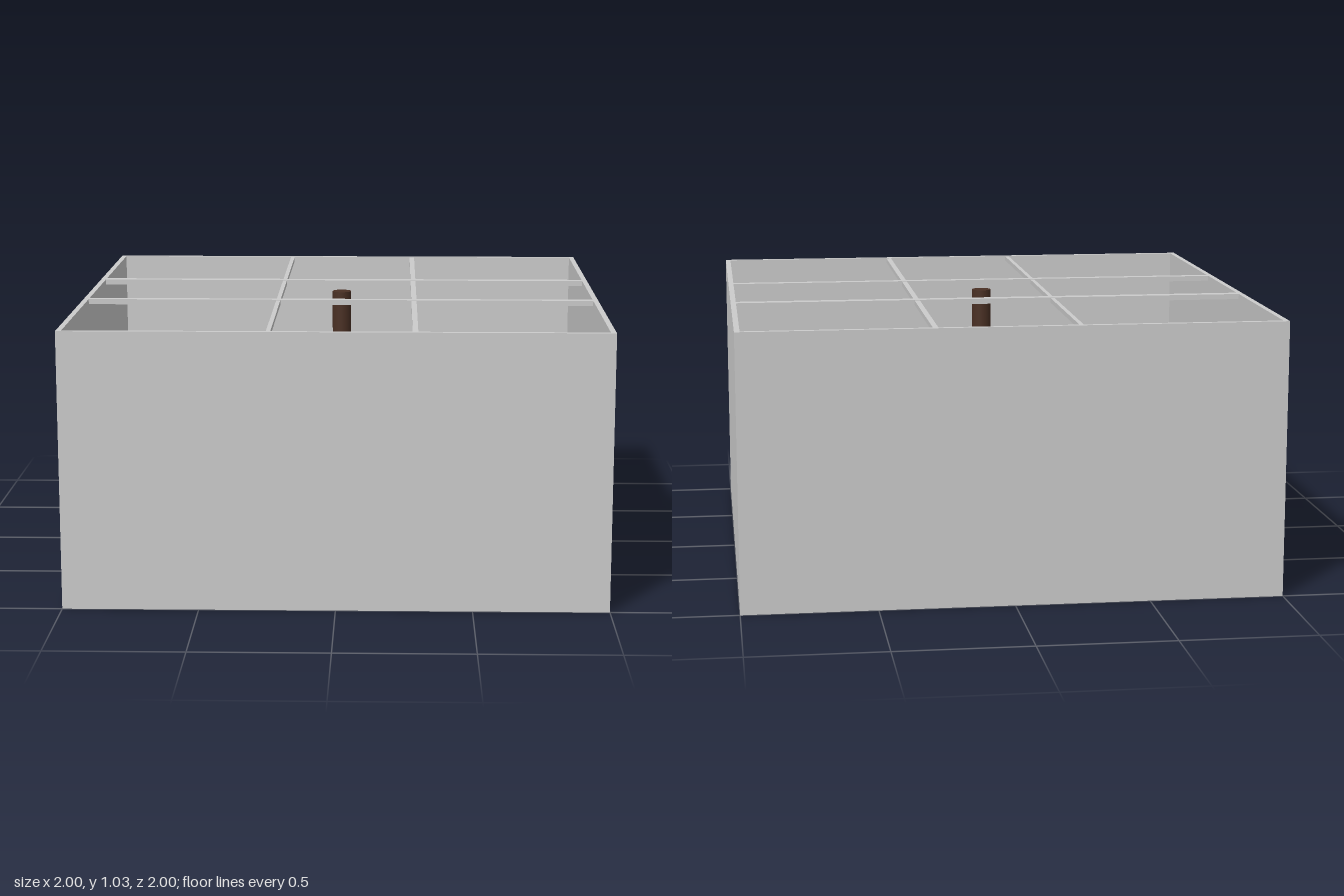
import * as THREE from 'three';

const H = 1.03, WALL = 0.02;
const grey = new THREE.MeshStandardMaterial({ color: 0xcccccc });
const bark = new THREE.MeshStandardMaterial({ color: 0x4a3024 });
const rootBark = new THREE.MeshStandardMaterial({ color: 0x4a3024, flatShading: true });

function add(parent, name, geometry, material, x = 0, y = 0, z = 0) {
  const mesh = new THREE.Mesh(geometry, material);
  mesh.name = name;
  mesh.position.set(x, y, z);
  parent.add(mesh);
  return mesh;
}

// Tube along a smooth path whose radius shrinks from r0 to r1
function taperedTube(points, r0, r1, steps = 18, sides = 7) {
  const curve = new THREE.CatmullRomCurve3(points);
  const geo = new THREE.TubeGeometry(curve, steps, 1, sides, false);
  const pos = geo.attributes.position;
  const v = new THREE.Vector3();
  for (let i = 0; i <= steps; i++) {
    const t = i / steps;
    const c = curve.getPointAt(t);
    const r = r1 + (r0 - r1) * Math.pow(1 - t, 1.4);
    for (let j = 0; j <= sides; j++) {
      const k = i * (sides + 1) + j;
      v.fromBufferAttribute(pos, k).sub(c).multiplyScalar(r).add(c);
      pos.setXYZ(k, v.x, v.y, v.z);
    }
  }
  geo.computeVertexNormals();
  return geo;
}

// Plan of each root as [x, z] points, from the stump outwards
const ROOTS = [
  [[-0.06, 0.01], [-0.14, 0.0], [-0.22, -0.045], [-0.285, -0.06]],
  [[-0.04, -0.05], [-0.09, -0.1], [-0.14, -0.14], [-0.16, -0.19], [-0.21, -0.2]],
  [[-0.06, -0.02], [-0.11, -0.05], [-0.16, -0.07], [-0.21, -0.09]],
  [[-0.05, 0.03], [-0.11, 0.05], [-0.18, 0.08], [-0.22, 0.145]],
  [[-0.03, 0.04], [-0.07, 0.08], [-0.11, 0.12], [-0.14, 0.185]],
  [[-0.01, 0.05], [-0.02, 0.11], [-0.03, 0.16], [-0.045, 0.22]],
  [[0.01, 0.05], [0.0, 0.11], [0.035, 0.15], [0.065, 0.195]],
  [[0.06, 0.02], [0.11, 0.06], [0.14, 0.11], [0.16, 0.165]],
  [[0.05, 0.01], [0.11, 0.04], [0.18, 0.075], [0.275, 0.07]],
  [[0.06, 0.0], [0.12, 0.04], [0.19, 0.01], [0.275, -0.005]],
  [[0.06, 0.01], [0.12, 0.04], [0.15, -0.01], [0.17, -0.07]],
  [[0.04, -0.05], [0.09, -0.11], [0.16, -0.17], [0.21, -0.215]],
  [[0.02, -0.06], [0.03, -0.13], [0.07, -0.18], [0.065, -0.26]],
  [[0.0, -0.06], [-0.01, -0.13], [-0.06, -0.17], [-0.095, -0.21], [-0.085, -0.255]],
  [[0.0, -0.06], [0.01, -0.13], [-0.02, -0.18], [-0.015, -0.23]],
];

export function createModel() {
  const model = new THREE.Group();

  // Open box: floor and four walls
  const box = new THREE.Group();
  box.name = 'box';
  model.add(box);
  add(box, 'floor', new THREE.BoxGeometry(2, WALL, 2), grey, 0, WALL / 2, 0);
  const wallH = H - WALL, wallY = WALL + wallH / 2;
  for (const s of [1, -1]) {
    const off = s * (1 - WALL / 2);
    add(box, s > 0 ? 'frontWall' : 'backWall', new THREE.BoxGeometry(2, wallH, WALL), grey, 0, wallY, off);
    add(box, s > 0 ? 'leftWall' : 'rightWall',
      new THREE.BoxGeometry(WALL, wallH, 2 - 2 * WALL), grey, off, wallY, 0);
  }

  // Crossing bars flush with the rim
  const bars = new THREE.Group();
  bars.name = 'topBars';
  model.add(bars);
  const inner = 2 - 2 * WALL, barH = 0.02, barY = H - barH / 2;
  for (const [z, w] of [[-0.286, 0.038], [0.241, 0.032]])
    add(bars, 'crossBar', new THREE.BoxGeometry(inner, barH, w), grey, 0, barY, z);
  for (const [x, w] of [[-0.241, 0.016], [0.286, 0.02]])
    add(bars, 'lengthBar', new THREE.BoxGeometry(w, barH - 0.002, inner), grey, x, barY - 0.001, 0);

  const tree = new THREE.Group();
  tree.name = 'tree';
  model.add(tree);

  // Straight trunk
  add(tree, 'trunk', new THREE.CylinderGeometry(0.037, 0.037, 0.56, 20), bark, 0, 0.745, -0.01);

  // Stump flaring downwards into uneven lobes
  const profile = [[0, 0.1], [0.05, 0.11], [0.085, 0.16], [0.082, 0.22], [0.06, 0.3], [0.044, 0.4], [0.04, 0.52], [0, 0.525]];
  const stump = new THREE.LatheGeometry(profile.map(p => new THREE.Vector2(...p)), 24);
  const pos = stump.attributes.position;
  for (let i = 0; i < pos.count; i++) {
    const x = pos.getX(i), z = pos.getZ(i), y = pos.getY(i);
    const a = Math.atan2(z, x);
    const flare = THREE.MathUtils.clamp((0.45 - y) / 0.25, 0, 1);
    const k = 1 + flare * (0.16 * Math.sin(5 * a) + 0.1 * Math.cos(8 * a + 1));
    pos.setXYZ(i, x * k, y, z * k);
  }
  stump.computeVertexNormals();
  add(tree, 'stump', stump, rootBark, 0, 0, -0.01);

  // Roots reaching out and down to the floor
  ROOTS.forEach((plan, n) => {
    const top = 0.24 + 0.05 * Math.sin(n * 2.1);
    const last = plan.length - 1;
    const points = plan.map(([x, z], i) => {
      const t = i / last;
      return new THREE.Vector3(x, top + (0.03 - top) * Math.pow(t, 1.2) + 0.012 * Math.sin(i * 2.3 + n), z);
    });
    points[last].y = 0.03;
    points.unshift(new THREE.Vector3(plan[0][0] * 0.4, top + 0.1, plan[0][1] * 0.4 - 0.006));
    add(tree, 'root', taperedTube(points, n === 8 ? 0.04 : 0.028, 0.005), rootBark);
  });

  return model;
}
